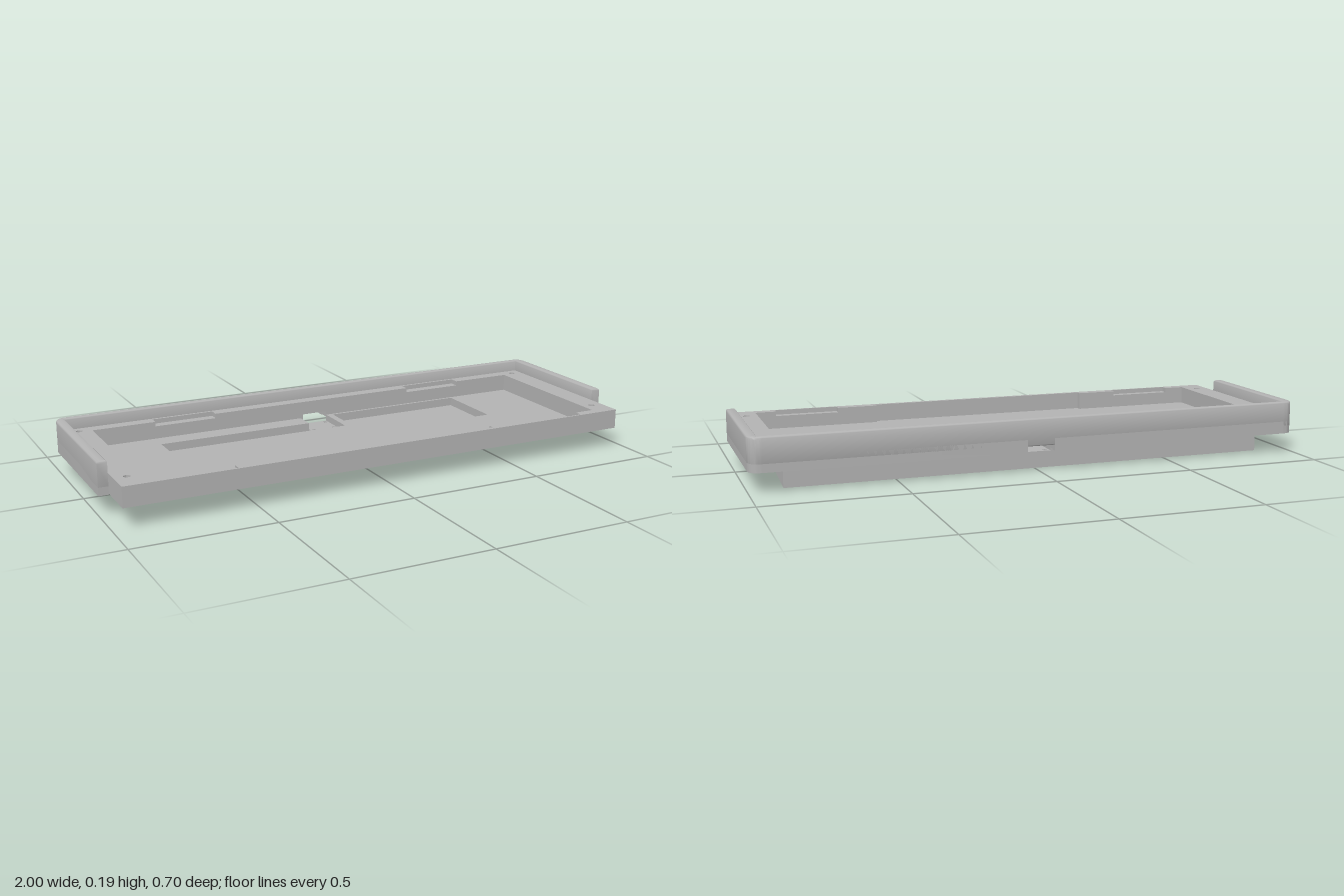
import * as THREE from 'three';
import { toCreasedNormals } from 'three/addons/utils/BufferGeometryUtils.js';

const grey = new THREE.MeshStandardMaterial({ color: 0xb2b2b2 });
grey.name = 'plain grey';

const pts = (list, Type = THREE.Shape) => new Type(list.map(([x, z]) => new THREE.Vector2(x, z)));
const rect = (x0, x1, z0, z1) => [[x0, z0], [x1, z0], [x1, z1], [x0, z1]];
const circle = (x, z, r) => new THREE.Path().absarc(x, z, r, 0, Math.PI * 2, true);

// Height of the sloping underside at a given depth
const slope = (z) => 0.08 - (0.345 - z) * 0.1222;

export function createModel() {
  const group = new THREE.Group();

  // Extrudes a plan outline (x, z) from y0 up to y1; y0 = null follows the sloping underside
  function slab(name, shape, y0, y1, holes = [], bevel = 0) {
    shape.holes.push(...holes);
    const low = y0 === null ? -0.1 : y0;
    const g = new THREE.ExtrudeGeometry(shape, {
      depth: y1 - low - 2 * bevel, curveSegments: 12, bevelEnabled: bevel > 0,
      bevelSize: bevel, bevelThickness: bevel, bevelOffset: -bevel, bevelSegments: 4,
    });
    g.rotateX(Math.PI / 2).translate(0, y1 - bevel, 0);
    const p = g.attributes.position;
    if (y0 === null) {
      for (let i = 0; i < p.count; i++) if (p.getY(i) < -0.05) p.setY(i, slope(p.getZ(i)));
    }
    g.computeVertexNormals();
    const mesh = new THREE.Mesh(toCreasedNormals(g, 0.6), grey);
    mesh.name = name;
    group.add(mesh);
  }

  // Shared cut-outs
  const screws = () => [[-0.925, -0.295], [0.925, -0.295], [-0.92, 0.255], [0.92, 0.255]]
    .map(([x, z]) => circle(x, z, 0.012));
  const pocket = () => pts(rect(0.075, 0.615, -0.275, 0), THREE.Path);
  const opening = [[-0.88, -0.285], [-0.88, 0.31], [-0.42, 0.31], [-0.42, 0.33],
    [0.42, 0.33], [0.42, 0.31], [0.88, 0.31], [0.88, -0.285]];
  const notched = [[-0.88, -0.285], [-0.88, 0.31], [-0.805, 0.31], [-0.805, 0.338], [-0.57, 0.338],
    [-0.57, 0.31], [-0.42, 0.31], [-0.42, 0.33], [0.42, 0.33], [0.42, 0.31], [0.57, 0.31],
    [0.57, 0.338], [0.805, 0.338], [0.805, 0.31], [0.88, 0.31], [0.88, -0.285],
    [0.645, -0.285], [0.645, -0.32], [0.41, -0.32], [0.41, -0.285],
    [-0.41, -0.285], [-0.41, -0.32], [-0.645, -0.32], [-0.645, -0.285]];
  const channel = [[-0.06, -0.285], [-0.06, -0.21], [-0.65, -0.21], [-0.65, -0.12], [0.05, -0.12]];
  // Outline running from the cable slot around the outside back to the slot
  const around = (x, zBack, zFront) => [[0.05, zBack], [x, zBack], [x, zFront],
    [-x, zFront], [-x, zBack], [-0.05, zBack]];
  const deck = () => pts(rect(-0.965, 0.965, -0.33, 0.345));

  // Rim around the tray: notched top, plain middle, slotted bottom
  slab('rimTop', deck(), 0.133, 0.15, [pts(notched, THREE.Path), ...screws()]);
  slab('rimMiddle', deck(), 0.1, 0.133, [pts(opening, THREE.Path), ...screws()]);
  slab('rimBottom', pts([...around(0.965, -0.33, 0.345), [-0.05, -0.285], ...opening, [0.05, -0.285]]),
    0.086, 0.1, screws());

  // Tray floor with the battery pocket and the cable channel
  slab('trayFloor', pts([...around(0.965, -0.33, 0.345), [-0.05, -0.285], ...channel]),
    0.078, 0.086, [pocket(), ...screws(), ]);

  // Wedge foot below the floor, carrying the recesses
  const split = 0.139;
  const drain = () => circle(-0.63, -0.175, 0.027);
  slab('wedgeRecesses', pts([[0.05, -0.285], [0.88, -0.285], [0.88, split], [-0.88, split],
    [-0.88, -0.285], ...channel]), 0.055, 0.078, [pocket()]);
  slab('wedgeBase', pts(rect(-0.88, 0.88, -0.285, split)), null, 0.055, [drain()]);
  slab('wedgeFront', pts(rect(-0.88, 0.88, split, 0.345)), null, 0.082);

  // Small board shelf with four screw holes
  const boardHoles = [-0.045, 0.04].flatMap((x) => [-0.27, -0.193].map((z) => circle(x, z, 0.008)));
  slab('boardShelf', pts(rect(-0.06, 0.05, -0.285, -0.18)), 0.055, 0.062, boardHoles);

  // Outer wall on the back and sides, with rounded corners and edges
  const wall = new THREE.Shape();
  wall.moveTo(-0.955, -0.355);
  wall.lineTo(0.955, -0.355);
  wall.quadraticCurveTo(1, -0.355, 1, -0.31);
  wall.lineTo(1, 0.195);
  wall.lineTo(0.965, 0.195);
  wall.lineTo(0.965, -0.33);
  wall.lineTo(-0.965, -0.33);
  wall.lineTo(-0.965, 0.195);
  wall.lineTo(-1, 0.195);
  wall.lineTo(-1, -0.31);
  wall.quadraticCurveTo(-1, -0.355, -0.955, -0.355);
  slab('outerWall', wall, 0.095, 0.193, [], 0.009);

  // Lower wall halves either side of the cable slot
  for (const s of [-1, 1]) {
    const half = new THREE.Shape();
    half.moveTo(s * 0.05, -0.355);
    half.lineTo(s * 0.955, -0.355);
    half.quadraticCurveTo(s, -0.355, s, -0.31);
    half.lineTo(s, 0.195);
    half.lineTo(s * 0.965, 0.195);
    half.lineTo(s * 0.965, -0.33);
    half.lineTo(s * 0.05, -0.33);
    slab(s > 0 ? 'lowerWallLeft' : 'lowerWallRight', half, 0.075, 0.12);
  }
  return group;
}
